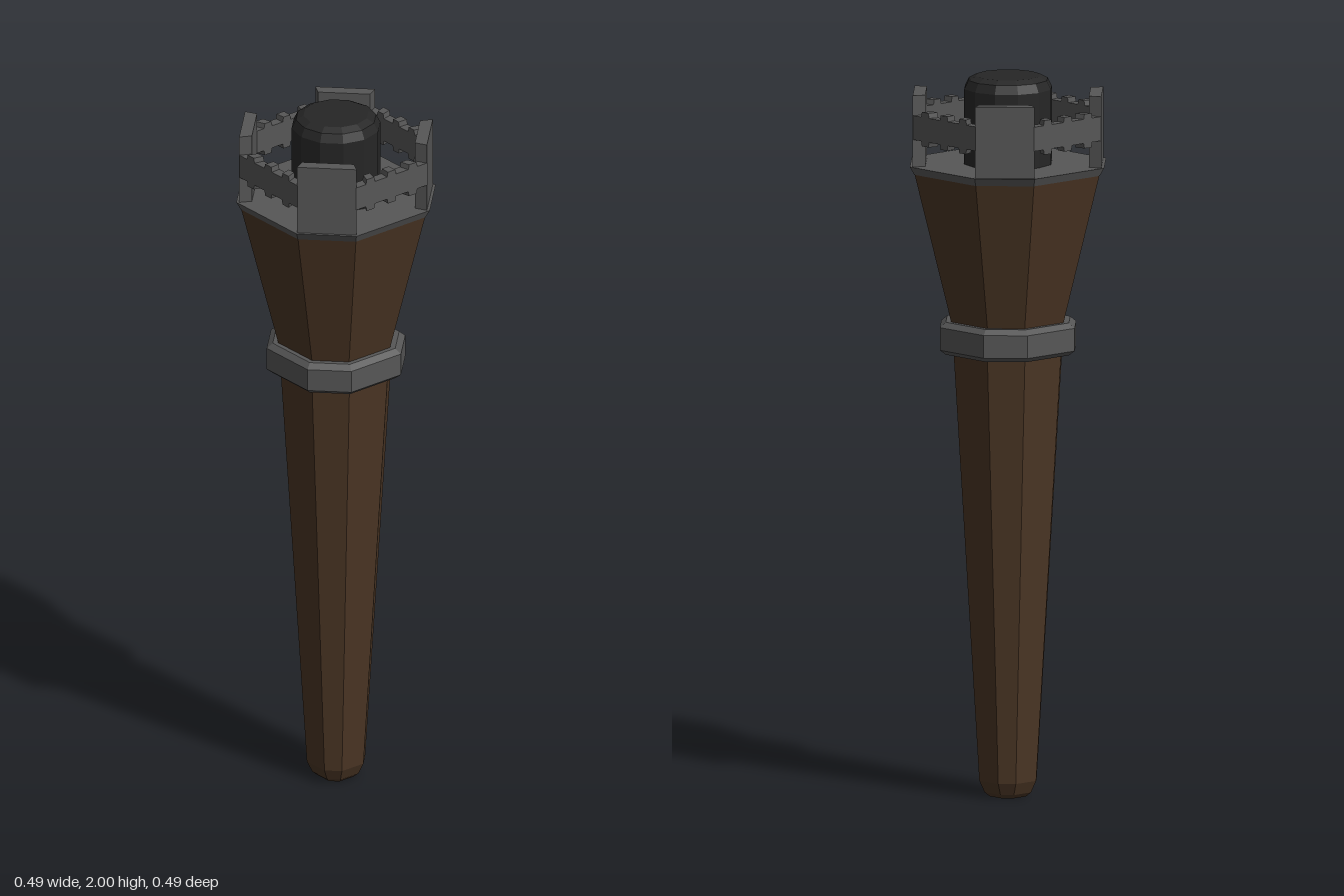
import * as THREE from 'three';

const mat = (color) => new THREE.MeshStandardMaterial({ color, flatShading: true });

// Lofts chamfered-square sections [y, halfWidth, cornerOffset], bottom to top, with end caps.
function octLoft(sections) {
  const rings = sections.map(([y, h, c]) =>
    [[h, -c], [h, c], [c, h], [-c, h], [-h, c], [-h, -c], [-c, -h], [c, -h]].map(([x, z]) => [x, y, z]));
  const p = [];
  const tri = (a, b, c) => p.push(...a, ...b, ...c);
  for (let r = 0; r < rings.length - 1; r++) {
    for (let i = 0; i < 8; i++) {
      const j = (i + 1) % 8, lo = rings[r], hi = rings[r + 1];
      tri(lo[i], hi[i], hi[j]);
      tri(lo[i], hi[j], lo[j]);
    }
  }
  const bottom = rings[0], top = rings[rings.length - 1];
  for (let i = 1; i < 7; i++) {
    tri(bottom[0], bottom[i], bottom[i + 1]);
    tri(top[0], top[i + 1], top[i]);
  }
  const g = new THREE.BufferGeometry();
  g.setAttribute('position', new THREE.Float32BufferAttribute(p, 3));
  g.computeVertexNormals();
  return g;
}

// Extrudes an outline and narrows it towards the centre axis.
function radialSlab(points, distance, depth) {
  const shape = new THREE.Shape(points.map(([x, y]) => new THREE.Vector2(x, y)));
  const g = new THREE.ExtrudeGeometry(shape, { depth, bevelEnabled: false });
  g.translate(0, 0, distance - depth);
  const pos = g.attributes.position;
  for (let i = 0; i < pos.count; i++) pos.setX(i, pos.getX(i) * pos.getZ(i) / distance);
  g.computeVertexNormals();
  return g;
}

// Outline of a bar with teeth along its upper and lower edges.
function toothedOutline(half, y0, y1, tooth) {
  const upper = [[-half, y1]];
  for (const x of [-0.075, 0, 0.075]) {
    upper.push([x - 0.016, y1], [x - 0.013, y1 + tooth], [x + 0.013, y1 + tooth], [x + 0.016, y1]);
  }
  upper.push([half, y1]);
  const lower = upper.map(([x, y]) => [x, y0 + y1 - y]).reverse();
  return [...upper, ...lower];
}

export function createModel() {
  const group = new THREE.Group();
  const wood = mat(0x4a3524), metal = mat(0x565656), coal = mat(0x262626);
  const add = (name, geometry, material, angle = 0) => {
    const mesh = new THREE.Mesh(geometry, material);
    mesh.name = name;
    mesh.rotation.y = angle;
    group.add(mesh);
  };

  // Tapered wooden shaft and flared head
  add('handle', octLoft([[0, 0.045, 0.025], [0.012, 0.058, 0.032], [0.045, 0.072, 0.038], [1.25, 0.141, 0.068]]), wood);
  add('flaredHead', octLoft([[1.3, 0.14, 0.07], [1.74, 0.236, 0.123]]), wood);

  // Metal collar and rim
  add('collar', octLoft([[1.232, 0.158, 0.08], [1.245, 0.173, 0.088], [1.308, 0.173, 0.088], [1.322, 0.158, 0.08]]), metal);
  add('rim', octLoft([[1.735, 0.236, 0.123], [1.757, 0.246, 0.13]]), metal);

  // Upright plates on the corners, toothed bars between them
  const plate = radialSlab([[-0.082, 1.75], [0.082, 1.75], [0.082, 1.955], [-0.082, 1.955]], 0.258, 0.034);
  const bar = radialSlab(toothedOutline(0.126, 1.833, 1.9, 0.014), 0.24, 0.028);
  for (let i = 0; i < 4; i++) {
    const a = i * Math.PI / 2;
    add('cornerPlate', plate, metal, a + Math.PI / 4);
    add('toothedBar', bar, metal, a);
  }

  // Charred core with rounded top
  const profile = [[0, 1.74], [0.123, 1.74], [0.123, 1.965], [0.111, 1.989], [0.09, 2], [0, 2]]
    .map(([x, y]) => new THREE.Vector2(x, y));
  add('charredCore', new THREE.LatheGeometry(profile, 12), coal);

  return group;
}
